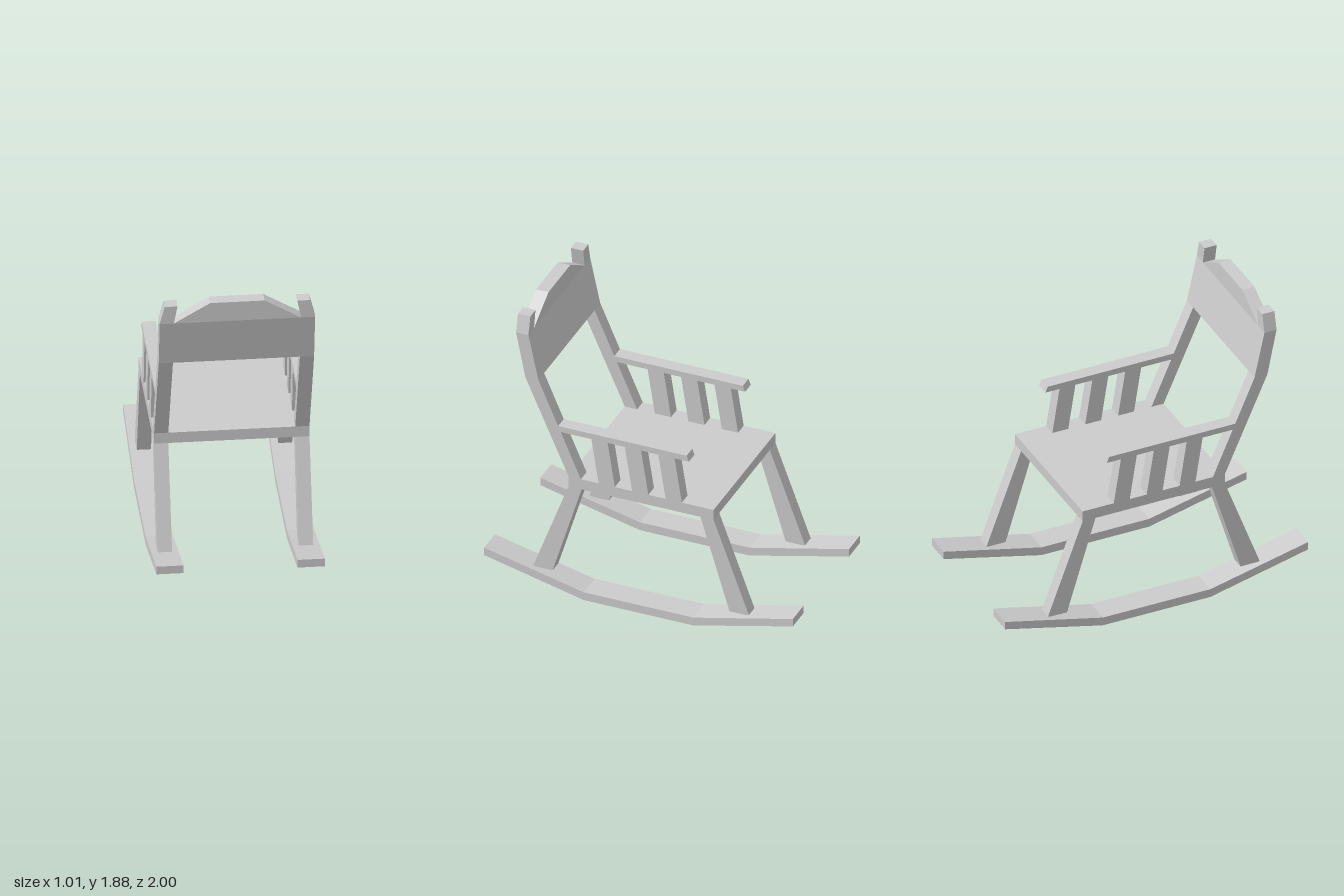
import * as THREE from 'three';

const material = new THREE.MeshStandardMaterial({ color: 0xcccccc, flatShading: true });
const CX = -0.005;     // middle of the chair across x
const POST_X = 0.422;  // distance of posts, legs and arms from the middle
const POST_W = 0.085;

function extrude(points, depth) {
  const shape = new THREE.Shape(points.map(([a, b]) => new THREE.Vector2(a, b)));
  return new THREE.ExtrudeGeometry(shape, { depth, bevelEnabled: false });
}

// Side profile given as [z, y], extruded across x and centred on the given x
function sidePart(name, points, width, x) {
  const geometry = extrude(points, width);
  geometry.rotateY(-Math.PI / 2).translate(x + width / 2, 0, 0);
  const mesh = new THREE.Mesh(geometry, material);
  mesh.name = name;
  return mesh;
}

// Front profile given as [x, y], extruded from z0 to z1
function frontPart(name, points, z0, z1) {
  const mesh = new THREE.Mesh(extrude(points, z1 - z0).translate(0, 0, z0), material);
  mesh.name = name;
  return mesh;
}

export function createModel() {
  const chair = new THREE.Group();
  chair.name = 'rockingChair';

  // Seat and bent headrest panel span the full width
  const fullWidth = 2 * POST_X + POST_W;
  chair.add(sidePart('seat', [[-0.47, 0.75], [0.47, 0.75], [0.47, 0.82], [-0.47, 0.82]], fullWidth, CX));
  chair.add(sidePart('headrest', [[0.665, 1.45], [0.75, 1.45], [0.81, 1.75], [0.73, 1.75]], fullWidth, CX));

  // Angular crest above the headrest
  chair.add(frontPart('crest', [
    [CX - 0.38, 1.75], [CX + 0.38, 1.75], [CX + 0.163, 1.877], [CX - 0.163, 1.877],
  ], 0.73, 0.81));

  for (const [side, s] of [['left', 1], ['right', -1]]) {
    const half = new THREE.Group();
    half.name = side + 'Side';
    const x = CX + s * POST_X;

    // Rocker with a flat middle and raised ends
    half.add(sidePart('rocker', [
      [-1, 0.155], [-0.355, 0], [0.355, 0], [1, 0.155],
      [1, 0.207], [0.355, 0.055], [-0.355, 0.055], [-1, 0.207],
    ], 0.163, x));

    // Splayed legs, wider at the foot
    for (const [name, e] of [['backLeg', 1], ['frontLeg', -1]]) {
      const profile = [[0.385, 0.75], [0.47, 0.75], [0.7, 0.132], [0.573, 0.132]];
      const points = profile.map(([z, y]) => [e * z, y]);
      half.add(sidePart(name, points, POST_W, x));
    }

    // Leaning back post
    half.add(sidePart('backPost', [
      [0.39, 0.82], [0.47, 0.82], [0.75, 1.45], [0.665, 1.45],
    ], POST_W, x));

    // Post tip tilting inward
    const tip = [[0.465, 1.75], [0.38, 1.75], [0.358, 1.865], [0.435, 1.865]];
    half.add(frontPart('postTip', tip.map(([px, y]) => [CX + s * px, y]), 0.73, 0.81));

    // Armrest
    half.add(sidePart('armrest', [
      [-0.31, 1.12], [0.525, 1.12], [0.54, 1.158], [-0.295, 1.158],
    ], POST_W, x));

    // Slanted slats between seat and armrest
    for (let i = 0; i < 3; i++) {
      const z = 0.17 - i * 0.217;
      half.add(sidePart('armSlat', [
        [z, 0.82], [z + 0.105, 0.82], [z + 0.152, 1.12], [z + 0.047, 1.12],
      ], POST_W, x));
    }
    chair.add(half);
  }
  return chair;
}
